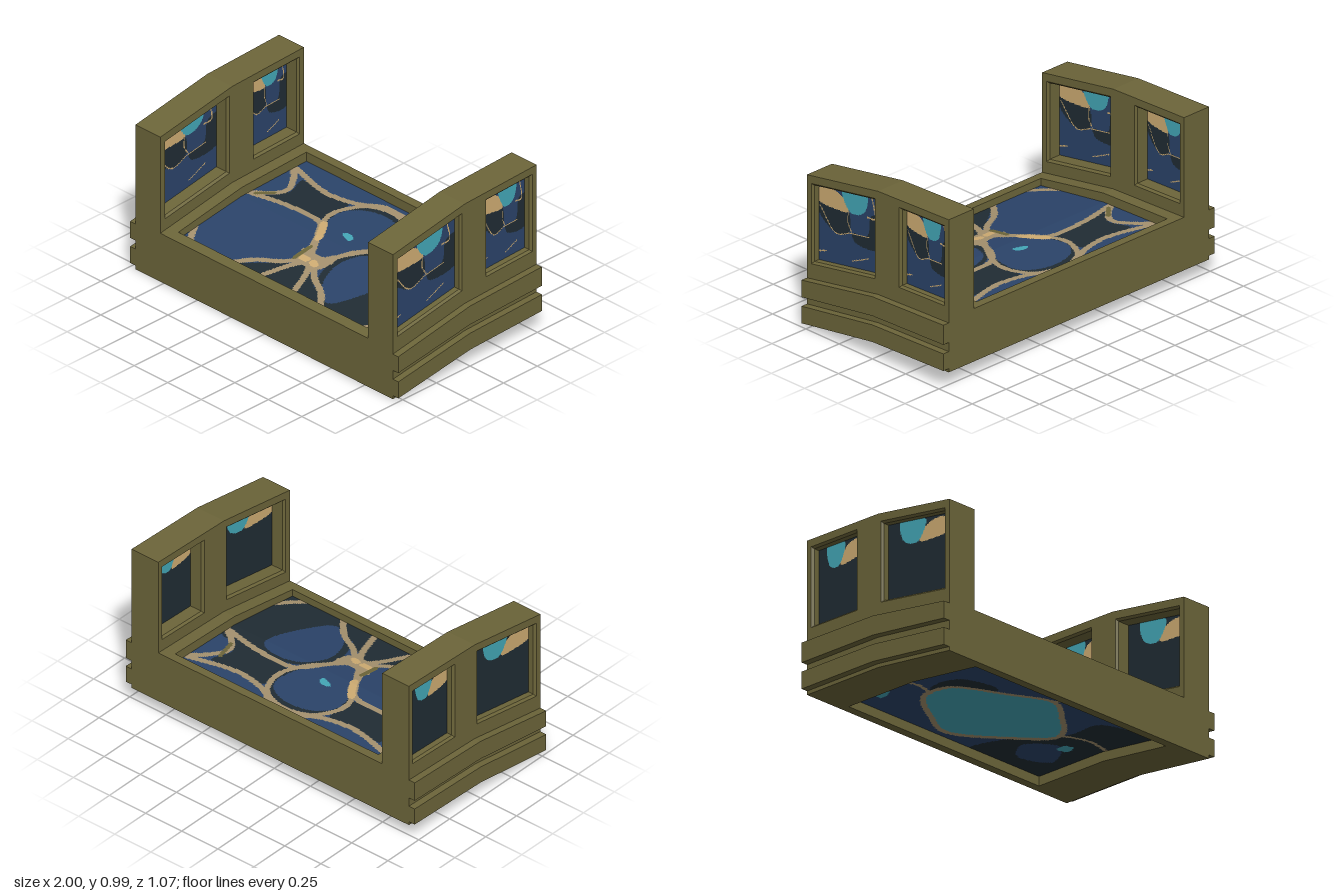
import * as THREE from 'three';

const mat = (name, color) => {
  const m = new THREE.MeshStandardMaterial({ color, side: THREE.DoubleSide });
  m.name = name;
  return m;
};

// Height rise of the bent deck from front (+z) to back (-z), kinked at z = 0;
// the lower parts bend a little less
const rise = (z, y) => (y < 0.27 ? 0.86 : 1) * (z > 0 ? 0.09 * (1 - z / 0.533) : 0.09 - 0.02 * z / 0.533);

// Outline in the (z, y) plane that follows the bend
function bentOutline(z0, z1, y0, y1) {
  const zs = z0 < 0 && z1 > 0 ? [z0, 0, z1] : [z0, z1];
  return [...zs.map(z => new THREE.Vector2(z, y0 + rise(z, y0))),
    ...zs.reverse().map(z => new THREE.Vector2(z, y1 + rise(z, y1)))];
}

// Bent slab spanning x0..x1, with optional holes [z0, z1, y0, y1]
function slab(name, x0, x1, z0, z1, y0, y1, material, holes = []) {
  const shape = new THREE.Shape(bentOutline(z0, z1, y0, y1));
  for (const h of holes) shape.holes.push(new THREE.Path(bentOutline(...h)));
  const g = new THREE.ExtrudeGeometry(shape, { depth: x1 - x0, bevelEnabled: false });
  g.rotateY(-Math.PI / 2).translate(x1, 0, 0);
  const mesh = new THREE.Mesh(g, material);
  mesh.name = name;
  return mesh;
}

// Faces joining successive four-cornered loops
function lining(name, loops, material) {
  const pos = [];
  for (let k = 0; k + 1 < loops.length; k++) {
    for (let i = 0; i < 4; i++) {
      const j = (i + 1) % 4, [a, b, c, d] = [loops[k][i], loops[k][j], loops[k + 1][j], loops[k + 1][i]];
      pos.push(...a, ...b, ...c, ...a, ...c, ...d);
    }
  }
  const g = new THREE.BufferGeometry();
  g.setAttribute('position', new THREE.Float32BufferAttribute(pos, 3));
  g.computeVertexNormals();
  const mesh = new THREE.Mesh(g, material);
  mesh.name = name;
  return mesh;
}

const curve = (pts, closed) =>
  new THREE.CatmullRomCurve3(pts.map(p => new THREE.Vector3(p[0], p[1], 0)), closed).getPoints(pts.length * 7);

// Smooth filled patch
function blob(color, pts) {
  const c = curve(pts, true);
  return { color, hit(u, v) {
    let inside = false;
    for (let i = 0, j = c.length - 1; i < c.length; j = i++) {
      if ((c[i].y > v) !== (c[j].y > v) &&
        u < (c[j].x - c[i].x) * (v - c[i].y) / (c[j].y - c[i].y) + c[i].x) inside = !inside;
    }
    return inside;
  } };
}

// Smooth stroke of half-width w
function vein(color, w, pts, closed = false) {
  const c = curve(pts, closed);
  return { color, hit(u, v) {
    for (let i = 0; i + 1 < c.length; i++) {
      const dx = c[i + 1].x - c[i].x, dy = c[i + 1].y - c[i].y;
      const t = Math.min(1, Math.max(0, ((u - c[i].x) * dx + (v - c[i].y) * dy) / (dx * dx + dy * dy || 1)));
      if (Math.hypot(u - c[i].x - t * dx, v - c[i].y - t * dy) < w) return true;
    }
    return false;
  } };
}

// Painted sheet: grid rows cut into runs of equal colour, one group per colour
function mural(name, [u0, u1, nu], [v0, v1, nv], place, layers, base) {
  const runs = new Map();
  const du = (u1 - u0) / nu, dv = (v1 - v0) / nv;
  for (let r = 0; r < nv; r++) {
    const va = v0 + r * dv, vb = va + dv;
    let start = 0, last = null;
    for (let k = 0; k <= nu; k++) {
      let color = null;
      if (k < nu) {
        color = base;
        for (const l of layers) if (l.hit(u0 + (k + 0.5) * du, va + dv / 2)) color = l.color;
      }
      if (color !== last) {
        if (last) {
          const ua = u0 + start * du, ub = u0 + k * du;
          const [a, b, c, d] = [place(ua, va), place(ub, va), place(ub, vb), place(ua, vb)];
          if (!runs.has(last)) runs.set(last, []);
          runs.get(last).push(...a, ...b, ...c, ...a, ...c, ...d);
        }
        start = k;
        last = color;
      }
    }
  }
  const g = new THREE.BufferGeometry(), pos = [];
  [...runs.values()].forEach((p, i) => {
    g.addGroup(pos.length / 3, p.length / 3, i);
    for (const n of p) pos.push(n);
  });
  g.setAttribute('position', new THREE.Float32BufferAttribute(pos, 3));
  g.computeVertexNormals();
  const mesh = new THREE.Mesh(g, [...runs.keys()]);
  mesh.name = name;
  return mesh;
}

export function createModel() {
  const olive = mat('olive frame', 0x6d663a), navy = mat('navy', 0x2b446a), dark = mat('dark slate', 0x202c34);
  const tan = mat('tan', 0xd0ad73), stone = mat('stone vein', 0xa6926f), teal = mat('teal', 0x44a8b8);
  const model = new THREE.Group();
  const windows = [[0.02, 0.5, 0.363, 0.834], [-0.502, -0.16, 0.366, 0.836]];

  // Window painting, s runs front to back and t bottom to top:
  // bright patches show on every pane, shade and veins only on panes facing +x
  const bright = [
    blob(tan, [[-0.05, 0.93], [0.2, 0.97], [0.4, 0.88], [0.49, 0.72], [0.3, 0.71], [-0.05, 0.8]]),
    blob(teal, [[0.38, 0.97], [0.5, 1.03], [0.79, 1.03], [0.8, 0.86], [0.72, 0.73], [0.52, 0.71]]),
  ];
  const shade = [
    blob(dark, [[-0.05, 0.8], [0.47, 0.74], [0.5, 0.45], [0.28, 0.4], [-0.05, 0.7]]),
    blob(dark, [[0.86, 0.72], [1.05, 0.74], [1.05, 0.32], [0.6, 0.33], [0.55, 0.44], [0.8, 0.46]]),
    vein(tan, 0.006, [[0.02, 0.72], [0.28, 0.4], [0.52, 0.44], [0.83, 0.44]]),
    vein(tan, 0.009, [[0.87, 0.98], [0.92, 0.7], [0.8, 0.7]]),
    vein(tan, 0.006, [[0.49, 0.72], [0.47, 0.6], [0.54, 0.45]]),
    vein(tan, 0.009, [[0, 0.12], [0.12, 0.14]]),
    vein(tan, 0.006, [[0.55, 0.08], [0.82, 0.16]]),
  ];

  for (const s of [1, -1]) {
    const side = new THREE.Group();
    side.name = s > 0 ? 'leftSide' : 'rightSide';
    const add = (name, a, b, ...rest) => side.add(slab(name, Math.min(s * a, s * b), Math.max(s * a, s * b), ...rest));
    add('wall', 0.775, 0.96, -0.533, 0.533, 0, 0.88, olive, windows);
    add('kerb', 0.703, 0.775, -0.533, 0.533, 0, 0.295, olive);
    add('lowerRib', 0.96, 1, -0.533, 0.533, 0.022, 0.122, olive);
    add('upperRib', 0.96, 1, -0.533, 0.533, 0.175, 0.275, olive);
    // Bevelled window reveals and recessed panes, deeper on the inner face
    for (const [z0, z1, y0, y1] of windows) {
      for (const [face, paneX] of [[0.96, 0.915], [0.775, 0.86]]) {
        const inward = Math.sign(paneX - face), facesLeft = inward * s < 0;
        const loop = (x, e) => [[z0 + e, y0 + e], [z1 - e, y0 + e], [z1 - e, y1 - e], [z0 + e, y1 - e]]
          .map(([z, y]) => [s * x, y + rise(z, y), z]);
        side.add(lining('windowReveal', [loop(face, 0), loop(face + inward * 0.012, 0.012), loop(paneX, 0.012)], olive));
        side.add(mural('windowPane', [0, 1, 90], [0, 1, 90], (u, v) => {
          const z = z1 - 0.012 + (z0 - z1 + 0.024) * u, y = y0 + 0.012 + (y1 - y0 - 0.024) * v;
          return [s * paneX, y + rise(z, y), z];
        }, facesLeft ? [...shade, ...bright] : bright, facesLeft ? navy : dark));
      }
    }
    model.add(side);
  }

  // Front and back beams closing the floor pocket
  model.add(slab('frontBeam', -0.703, 0.703, 0.47, 0.533, 0, 0.295, olive));
  model.add(slab('backBeam', -0.703, 0.703, -0.533, -0.48, 0, 0.295, olive));

  // Upper floor painting: cells, then veins, then small accents
  const mirror = pts => pts.map(([x, z]) => [-x, z]);
  const keyhole = [[-0.15, -0.37], [-0.23, -0.21], [-0.19, -0.08], [-0.09, 0.06], [0, 0.17],
    [0.1, 0.06], [0.19, -0.07], [0.23, -0.2], [0.17, -0.36], [0, -0.42]];
  const upperCell = [[-0.58, -0.33], [-0.4, -0.31], [-0.24, -0.34], [-0.25, -0.1], [-0.45, -0.1], [-0.62, -0.08], [-0.55, -0.2]];
  const cross = [[-0.72, -0.05], [-0.45, -0.1], [-0.21, -0.09], [-0.1, 0.06], [-0.05, 0.2]];
  const hook = [[-0.72, -0.4], [-0.62, -0.3], [-0.57, -0.2], [-0.62, -0.12], [-0.72, -0.05]];
  const corner = [[-0.71, 0.34], [-0.66, 0.42], [-0.6, 0.49]];
  const root = [[-0.02, 0.18], [-0.12, 0.28], [-0.25, 0.36], [-0.37, 0.49]];
  const rootInner = [[0, 0.19], [-0.06, 0.28], [-0.14, 0.49]];
  const brow = [[-0.72, -0.4], [-0.4, -0.325], [-0.2, -0.36], [-0.08, -0.43], [0, -0.435]];
  const floorCells = [
    blob(dark, upperCell), blob(dark, mirror(upperCell)),
    blob(dark, [[0.12, 0.05], [0.25, -0.08], [0.72, -0.1], [0.78, 0.2], [0.68, 0.5], [0.4, 0.5], [0.2, 0.36], [0.11, 0.2]]),
    blob(navy, [[0.14, 0.12], [0.2, -0.02], [0.35, -0.07], [0.48, -0.02], [0.42, 0.28], [0.34, 0.4], [0.2, 0.3]]),
    blob(dark, [[0, 0.24], [-0.12, 0.3], [-0.34, 0.5], [0.34, 0.5], [0.12, 0.3]]),
    blob(dark, keyhole),
    blob(navy, [[-0.2, -0.26], [-0.1, -0.35], [0.08, -0.36], [0.19, -0.28], [0.18, -0.1], [0, 0.15], [-0.19, -0.12]]),
  ];
  const floorVeins = [
    vein(stone, 0.016, keyhole, true),
    ...[brow, cross, hook, corner, root, rootInner].flatMap(p => [vein(stone, 0.018, p), vein(stone, 0.018, mirror(p))]),
    blob(stone, [[-0.1, 0.1], [0, 0.13], [0.1, 0.1], [0.09, 0.22], [0, 0.24], [-0.09, 0.22]]),
  ];
  const floorAccents = [
    vein(tan, 0.022, [[-0.19, -0.1], [-0.14, -0.03], [-0.11, 0.02]]),
    vein(tan, 0.022, [[-0.06, 0.19], [-0.03, 0.19]]), vein(tan, 0.022, [[0.02, 0.19], [0.04, 0.2]]),
    vein(olive, 0.012, [[-0.6, -0.14], [-0.67, -0.07]]),
    vein(olive, 0.012, [[0.57, -0.27], [0.6, -0.15]]),
    vein(olive, 0.012, [[-0.09, 0.1], [-0.09, 0.22]]),
    blob(teal, [[-0.05, -0.1], [-0.01, -0.12], [0.035, -0.09], [0.03, -0.065], [0, -0.07]]),
  ];
  model.add(mural('upperFloor', [-0.703, 0.703, 200], [0.47, -0.48, 136],
    (x, z) => [x, 0.255 + rise(z, 0.255), z], [...floorCells, ...floorVeins, ...floorAccents], navy));

  // Underside painting
  const pool = [[0.41, -0.04], [0.24, -0.24], [-0.04, -0.43], [-0.22, -0.35],
    [-0.45, -0.17], [-0.43, 0.02], [-0.2, 0.2], [0.01, 0.33], [0.2, 0.2]];
  const underArt = [
    blob(dark, [[0.75, -0.5], [0.2, -0.5], [0.25, -0.25], [0.42, 0], [0.4, 0.3], [0.75, 0.35]]),
    blob(navy, [[0.62, -0.3], [0.45, -0.38], [0.35, -0.25], [0.5, -0.12]]),
    blob(dark, [[-0.48, -0.1], [-0.5, 0.15], [-0.3, 0.22], [-0.25, 0.14]]),
    blob(teal, pool),
    vein(stone, 0.016, pool, true),
    vein(stone, 0.012, [[0.4, -0.02], [0.55, 0.05], [0.72, 0.02]]),
    vein(stone, 0.012, [[0.01, 0.34], [0.05, 0.42], [0.03, 0.48]]),
    vein(stone, 0.012, [[-0.45, -0.12], [-0.58, -0.1], [-0.72, -0.16]]),
    blob(teal, [[-0.58, -0.36], [-0.69, -0.34], [-0.69, -0.25], [-0.61, -0.27]]),
    blob(teal, [[0.52, -0.16], [0.58, -0.14], [0.56, -0.08], [0.51, -0.1]]),
  ];
  model.add(mural('underFloor', [-0.703, 0.703, 160], [-0.48, 0.47, 108],
    (x, z) => [x, 0.055 + rise(z, 0.055), z], underArt, navy));

  return model;
}
